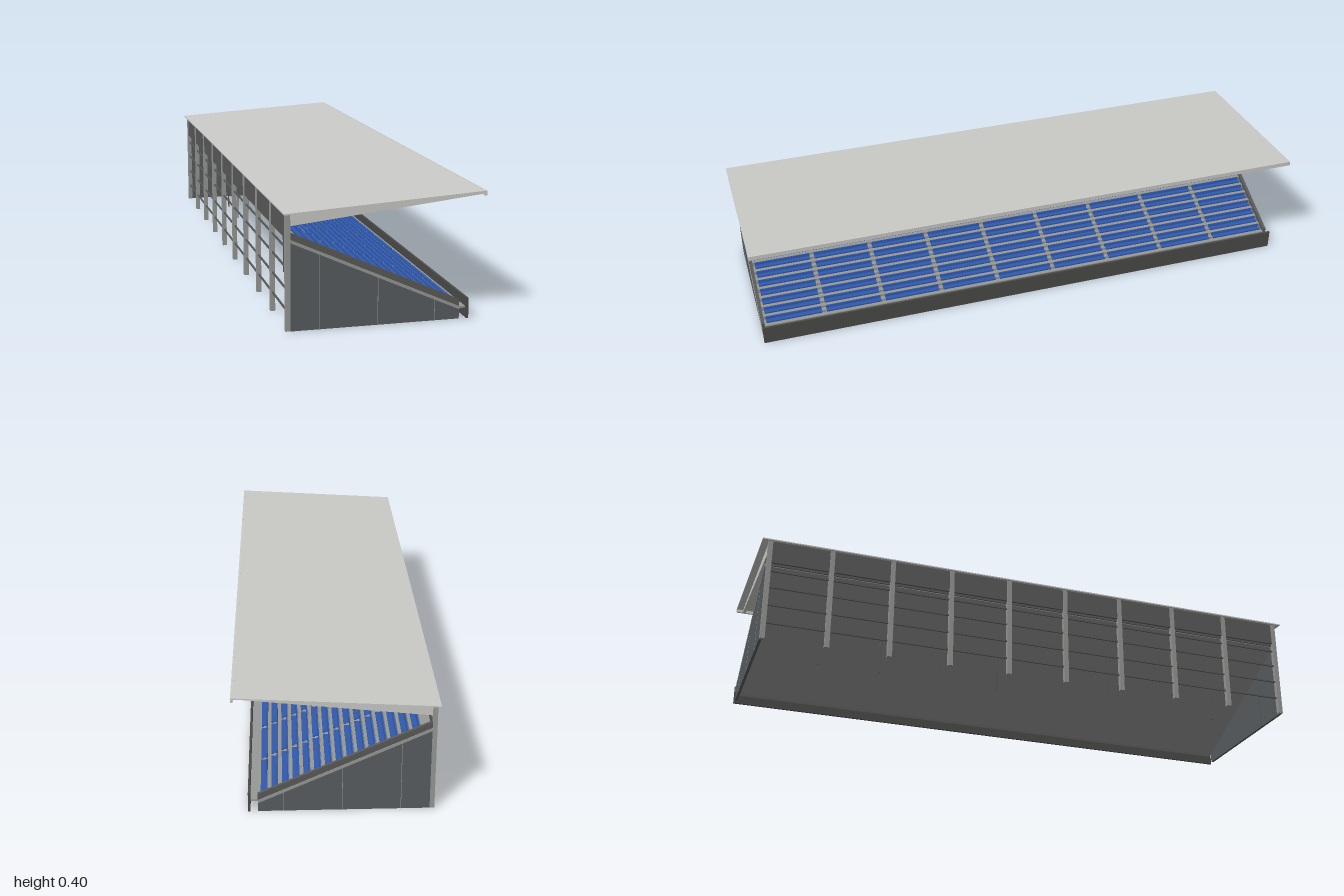
import * as THREE from 'three';

const material = (name, color, side = THREE.FrontSide) => {
  const m = new THREE.MeshStandardMaterial({ color, side });
  m.name = name;
  return m;
};

export function createModel() {
  const roofGrey = material('roof light grey', 0xcbcbc8);
  const concrete = material('concrete grey', 0x979996);
  const wallSlate = material('end wall slate', 0x585d60);
  const darkGrey = material('parapet dark grey', 0x5a5b59);
  const frontDark = material('front wall charcoal', 0x4b4b49);
  const blue = material('seat blue', 0x3059ad);

  const model = new THREE.Group();
  model.name = 'grandstand';
  const stand = new THREE.Group();
  stand.name = 'stand';
  stand.rotation.y = -0.104; // the stand sits slightly turned
  model.add(stand);

  const add = (name, geometry, mat) => {
    const mesh = new THREE.Mesh(geometry, mat);
    mesh.name = name;
    stand.add(mesh);
    return mesh;
  };
  // box given by its limits
  const box = (name, mat, x0, x1, y0, y1, z0, z1) => {
    const g = new THREE.BoxGeometry(x1 - x0, y1 - y0, z1 - z0);
    return add(name, g.translate((x0 + x1) / 2, (y0 + y1) / 2, (z0 + z1) / 2), mat);
  };
  // side profile (x, y) extruded from z0 to z1
  const profile = (name, mat, pts, z0, z1) => {
    const shape = new THREE.Shape(pts.map(([x, y]) => new THREE.Vector2(x, y)));
    const g = new THREE.ExtrudeGeometry(shape, { depth: z1 - z0, bevelEnabled: false });
    return add(name, g.translate(0, 0, z0), mat);
  };

  const FRONT = 0.239, BACK = -0.289, SLOPE = 0.4545, END = 0.945, BAYS = 9;
  const bay = (2 * END) / BAYS;
  const rake = x => 0.03 + SLOPE * (FRONT - x); // underside of the terrace
  const rows = 16, pitch = (FRONT - BACK) / rows, rise = pitch * SLOPE;
  const backOf = i => FRONT - pitch * (i + 1);
  const treadOf = i => 0.034 + rise * (i + 1);

  // stepped terrace
  const steps = [[BACK, rake(BACK)], [FRONT, rake(FRONT)]];
  for (let i = 0; i < rows; i++) {
    steps.push([FRONT - pitch * i, treadOf(i)], [backOf(i), treadOf(i)]);
  }
  profile('terrace', concrete, steps, -END, END);
  box('frontWalkway', concrete, FRONT, 0.262, 0.03, 0.036, -END, END);

  // seat rows, one length per bay, leaving the aisles open
  const aisle = 0.016;
  for (let i = 0; i < rows - 1; i++) {
    const x = backOf(i) + 0.003, y = treadOf(i);
    const seat = [[x, y], [x + 0.005, y], [x + 0.005, y + 0.004], [x + 0.021, y + 0.004],
      [x + 0.021, y + 0.009], [x + 0.005, y + 0.009], [x + 0.004, y + 0.018], [x, y + 0.018]];
    for (let b = 0; b < BAYS; b++) {
      const z = -END + b * bay;
      profile('seatRow', blue, seat, z + aisle / 2, z + bay - aisle / 2);
    }
    // half steps in the aisles
    for (let b = 1; b < BAYS; b++) {
      const z = -END + b * bay;
      box('aisleStep', concrete, backOf(i), backOf(i) + pitch / 2, y, y + rise / 2,
        z - aisle / 2, z + aisle / 2);
    }
  }

  // end walls, with terrace edge, parapet and panel joints
  for (const s of [-1, 1]) {
    const span = (a, b) => (s > 0 ? [a, b] : [-b, -a]);
    const band = (lo, hi) => [[BACK, rake(BACK) + lo], [FRONT, rake(FRONT) + lo],
      [FRONT, rake(FRONT) + hi], [BACK, rake(BACK) + hi]];
    profile('endWall', wallSlate, [[BACK, 0], [FRONT, 0], [FRONT, rake(FRONT)], [BACK, rake(BACK)]],
      ...span(END, 0.954));
    profile('terraceEdge', concrete, band(0, 0.01), ...span(END, 0.957));
    profile('parapet', darkGrey, band(0.01, 0.031), ...span(END, 0.955));
    for (const x of [-0.2, -0.02, 0.16]) {
      box('panelJoint', concrete, x - 0.0008, x + 0.0008, 0, rake(x), ...span(0.9535, 0.9545));
    }
  }

  // front wall
  box('frontWall', frontDark, 0.262, 0.269, 0, 0.064, -0.956, 0.956);

  // back wall above the terrace
  box('backWallInner', concrete, -0.294, -0.291, 0.298, 0.36, -END, END);
  box('backWallBase', darkGrey, -0.294, -0.288, 0.272, 0.298, -END, END);
  box('backWallOuter', darkGrey, -0.301, -0.294, 0.28, 0.36, -END, END);

  // columns, inner posts and roof beams on every bay line
  for (let b = 0; b <= BAYS; b++) {
    const z = -END + b * bay;
    box('backColumn', concrete, -0.304, BACK, 0, 0.361, z - 0.008, z + 0.008);
    box('innerPost', darkGrey, -0.167, -0.163, 0, rake(-0.165), z - 0.002, z + 0.002);
    profile('roofBeam', roofGrey, [[BACK, 0.32], [0.306, 0.385], [0.306, 0.396], [BACK, 0.361]],
      z - 0.005, z + 0.005);
  }
  // rails across the open back
  for (const y of [0.06, 0.125, 0.19, 0.25]) {
    box('backRail', darkGrey, -0.299, -0.294, y - 0.0025, y + 0.0025, -END, END);
  }

  // roof sheet and front fascia
  const roof = 0.973;
  profile('roof', roofGrey, [[-0.312, 0.358], [0.312, 0.396], [0.312, 0.4], [-0.312, 0.362]], -roof, roof);
  box('roofFascia', roofGrey, 0.306, 0.3125, 0.385, 0.4, -roof, roof);

  return model;
}
